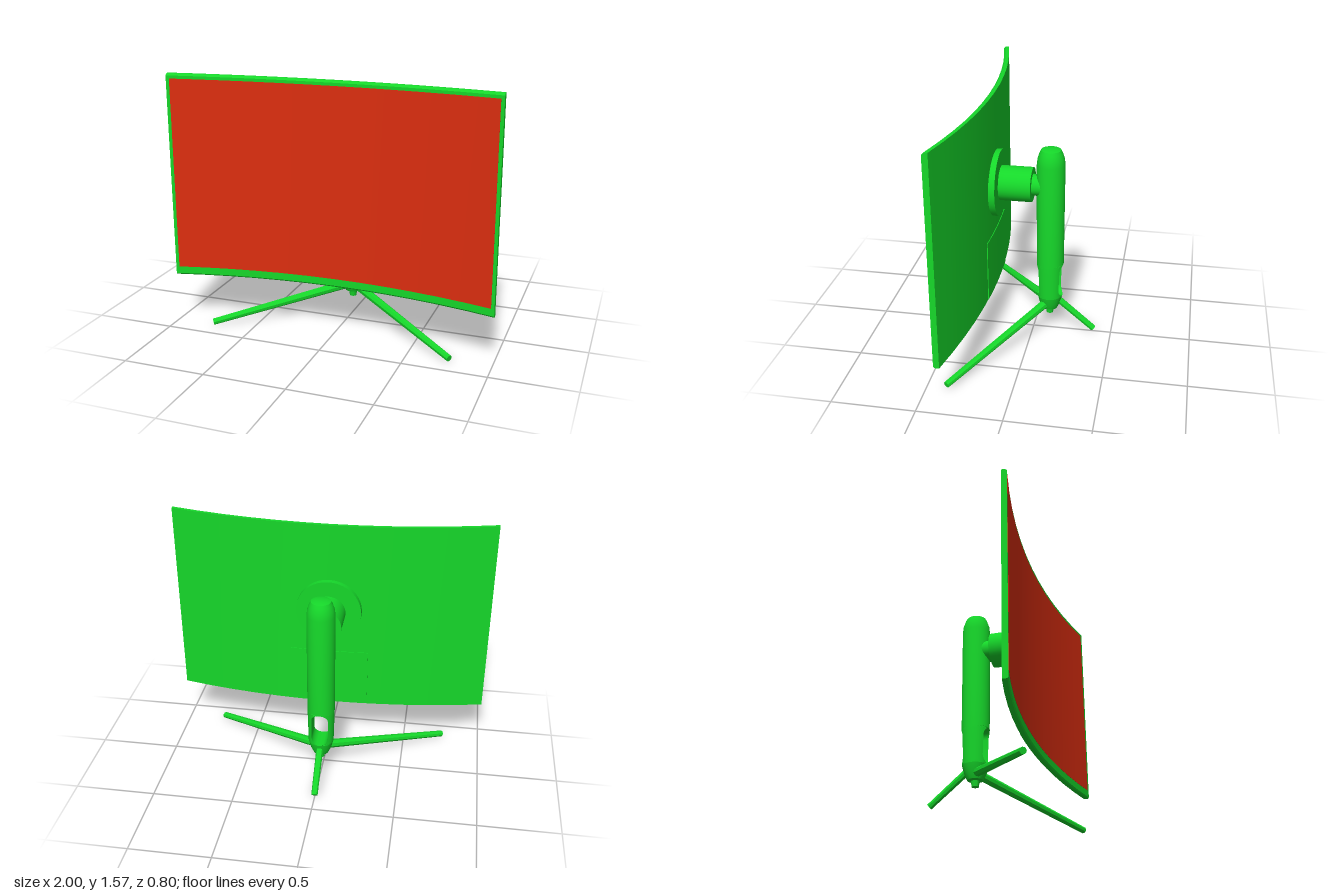
import * as THREE from 'three';
import { toCreasedNormals } from 'three/addons/utils/BufferGeometryUtils.js';

const green = new THREE.MeshStandardMaterial({ color: 0x16d82a });
const red = new THREE.MeshStandardMaterial({ color: 0xdd2e10 });
const POLE_Z = -0.105;

function add(group, name, geometry, material = green) {
  const mesh = new THREE.Mesh(geometry, material);
  mesh.name = name;
  group.add(mesh);
  return mesh;
}

// Sweeps a (z, y) section across x, then bends it along the screen's curve
function curvedPanel(section, halfWidth, steps) {
  const shape = new THREE.Shape(section.map(([z, y]) => new THREE.Vector2(z, y)));
  const geo = new THREE.ExtrudeGeometry(shape, { depth: 2 * halfWidth, steps, bevelEnabled: false });
  geo.translate(0, 0, -halfWidth).rotateY(-Math.PI / 2);
  const p = geo.attributes.position;
  for (let i = 0; i < p.count; i++) {
    const x = p.getX(i), y = p.getY(i);
    p.setY(i, 0.94 + (y - 0.94) * (1 - 0.01 * (1 - x * x)));
    p.setZ(i, p.getZ(i) + 0.267 + 0.115 * x * x);
  }
  return toCreasedNormals(geo, 0.4);
}

// Rectangular section between two depths and two heights
const rect = (z0, z1, y0, y1) => [[z0, y0], [z1, y0], [z1, y1], [z0, y1]];

// Cylinder running along z between two depths
function zCylinder(radius, z0, z1, y) {
  return new THREE.CylinderGeometry(radius, radius, z1 - z0, 40)
    .rotateX(Math.PI / 2).translate(0, y, (z0 + z1) / 2);
}

function lathe(points) {
  const geo = new THREE.LatheGeometry(points.map(([r, y]) => new THREE.Vector2(r, y)), 32);
  return toCreasedNormals(geo.translate(0, 0, POLE_Z), 0.6);
}

// One side of the pole beside the rounded cable slot
function slotSide(side) {
  const y0 = 0.25, y1 = 0.48, w = 0.052, n = 14, caps = 8;
  const rows = [];
  for (let k = 0; k <= caps; k++) {
    const a = (k / caps) * Math.PI / 2;
    rows.push([y0 + w * (1 - Math.cos(a)), w * Math.sin(a)]);
  }
  for (let k = caps; k >= 0; k--) {
    const a = (k / caps) * Math.PI / 2;
    rows.push([y1 - w * (1 - Math.cos(a)), w * Math.sin(a)]);
  }
  const pos = [], index = [];
  rows.forEach(([y, half], j) => {
    const r = 0.079 + 0.006 * (y - y0) / (y1 - y0);
    const span = Math.acos(half / r);
    for (let i = 0; i <= n; i++) {
      const t = -span + (2 * span * i) / n;
      pos.push(side * r * Math.cos(t), y, POLE_Z - side * r * Math.sin(t));
    }
    if (j === 0) return;
    const m = n + 1, lo = (j - 1) * m, hi = j * m;
    for (let i = 0; i < m; i++) {
      const k = (i + 1) % m;
      index.push(lo + i, lo + k, hi + k, lo + i, hi + k, hi + i);
    }
  });
  const geo = new THREE.BufferGeometry();
  geo.setAttribute('position', new THREE.Float32BufferAttribute(pos, 3));
  geo.setIndex(index);
  return toCreasedNormals(geo, 0.6);
}

// Tapered faceted rod from hub to floor
function leg(group, name, from, to, r0, r1) {
  const a = new THREE.Vector3(...from), b = new THREE.Vector3(...to);
  const dir = b.clone().sub(a);
  const geo = toCreasedNormals(new THREE.CylinderGeometry(r1, r0, dir.length(), 8), 0.3);
  const mesh = add(group, name, geo);
  mesh.position.copy(a).add(b).multiplyScalar(0.5);
  mesh.quaternion.setFromUnitVectors(new THREE.Vector3(0, 1, 0), dir.normalize());
}

export function createModel() {
  const model = new THREE.Group();
  model.name = 'curvedMonitor';

  // Display: housing with chamfered rim, screen, raised rear cover
  const display = new THREE.Group();
  display.name = 'display';
  model.add(display);
  const housing = [[-0.034, 0.31], [-0.006, 0.31], [0, 0.318], [0, 1.558], [-0.012, 1.57], [-0.034, 1.57]];
  add(display, 'housing', curvedPanel(housing, 1, 12));
  add(display, 'screen', curvedPanel(rect(-0.005, 0.002, 0.362, 1.54), 0.98, 12), red);
  add(display, 'rearCover', curvedPanel(rect(-0.038, -0.03, 0.315, 0.7), 0.25, 4));

  // Mount joining the display to the pole
  const mount = new THREE.Group();
  mount.name = 'mount';
  model.add(mount);
  add(mount, 'mountPlate', zCylinder(0.205, 0.2, 0.245, 1));
  add(mount, 'mountBarrel', zCylinder(0.107, 0.005, 0.21, 1));
  add(mount, 'mountNeck', zCylinder(0.066, -0.1, 0.01, 1));

  // Pole with a slot through its lower part
  const stand = new THREE.Group();
  stand.name = 'stand';
  model.add(stand);
  add(stand, 'pole', lathe([[0, 0.48], [0.085, 0.48], [0.086, 1.14], [0.081, 1.18], [0.07, 1.213],
    [0.06, 1.233], [0.035, 1.24], [0, 1.24]]));
  add(stand, 'slotSideLeft', slotSide(1));
  add(stand, 'slotSideRight', slotSide(-1));
  add(stand, 'hub', lathe([[0, 0.12], [0.021, 0.12], [0.026, 0.155], [0.048, 0.16], [0.066, 0.2],
    [0.079, 0.25], [0, 0.25]]));

  // Three legs
  leg(stand, 'frontLegLeft', [0.03, 0.2, -0.085], [0.755, 0.023, 0.385], 0.028, 0.02);
  leg(stand, 'frontLegRight', [-0.03, 0.2, -0.085], [-0.755, 0.023, 0.385], 0.028, 0.02);
  leg(stand, 'rearLeg', [0, 0.225, -0.15], [0, 0.024, -0.388], 0.022, 0.02);

  return model;
}
